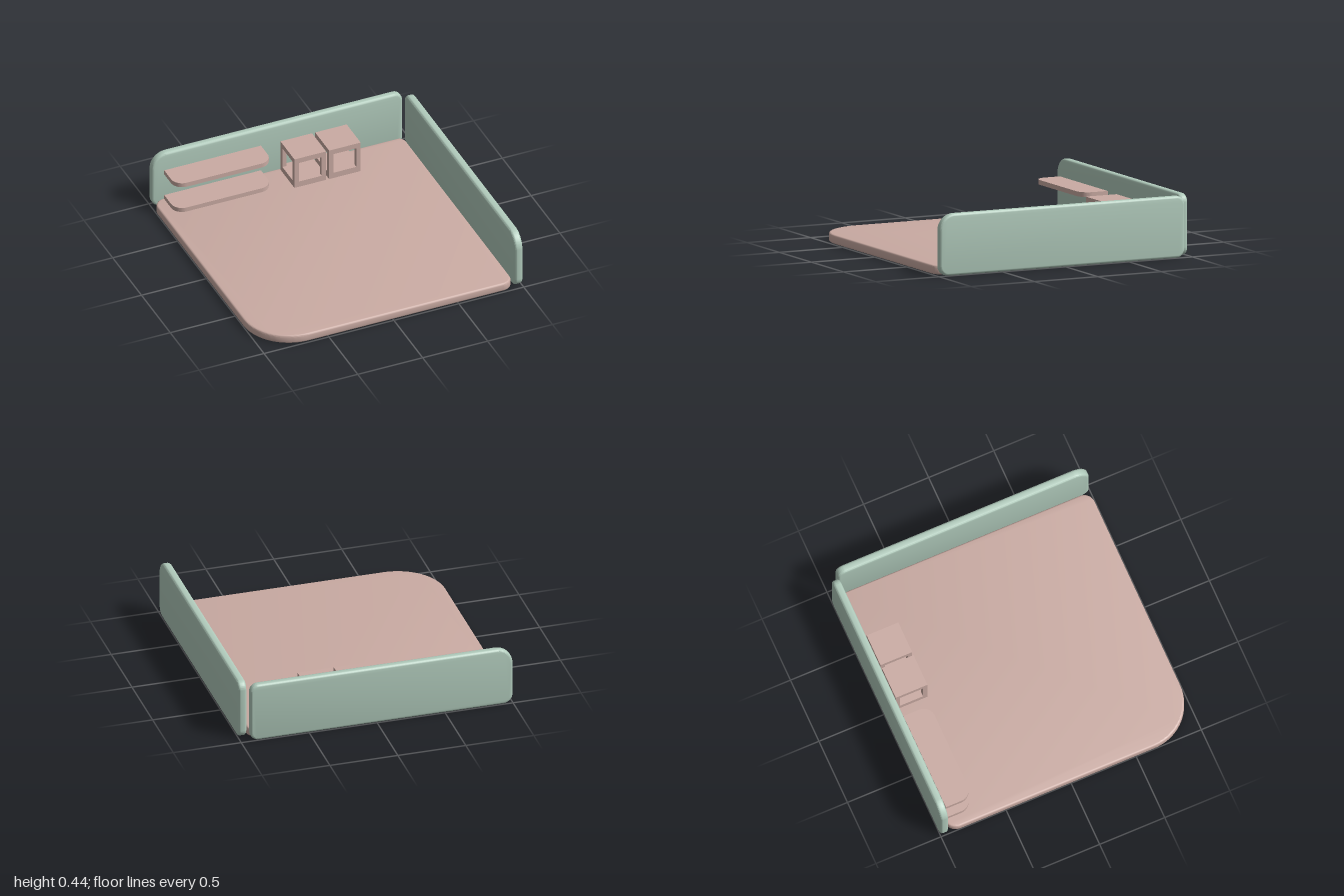
import * as THREE from 'three';
import { toCreasedNormals } from 'three/addons/utils/BufferGeometryUtils.js';

const pink = new THREE.MeshStandardMaterial({ color: 0xcaaba3 });
pink.name = 'dusty pink';
const green = new THREE.MeshStandardMaterial({ color: 0xb1cbbc });
green.name = 'sage green';

// Rectangle with its own radius at each corner: bottom-left, bottom-right, top-right, top-left
function roundedRect(x0, y0, x1, y1, [bl, br, tr, tl]) {
  const s = new THREE.Shape();
  const arc = (x, y, r, start) => {
    if (r > 0) s.absarc(x, y, r, start, start + Math.PI / 2, false);
    else s.lineTo(x, y);
  };
  s.moveTo(x0 + bl, y0);
  s.lineTo(x1 - br, y0);
  arc(x1 - br, y0 + br, br, -Math.PI / 2);
  s.lineTo(x1, y1 - tr);
  arc(x1 - tr, y1 - tr, tr, 0);
  s.lineTo(x0 + tl, y1);
  arc(x0 + tl, y1 - tl, tl, Math.PI / 2);
  s.lineTo(x0, y0 + bl);
  if (bl > 0) arc(x0 + bl, y0 + bl, bl, Math.PI);
  return s;
}

// Slab of the given thickness from z = 0, with softened edges if bevel > 0
function slab(shape, thickness, bevel) {
  const g = new THREE.ExtrudeGeometry(shape, {
    depth: thickness - 2 * bevel,
    bevelEnabled: bevel > 0,
    bevelThickness: bevel,
    bevelSize: bevel,
    bevelOffset: -bevel,
    bevelSegments: 3,
    curveSegments: 14,
  });
  g.translate(0, 0, bevel);
  return toCreasedNormals(g, 0.6);
}

function addMesh(parent, name, geometry, material, x = 0, y = 0, z = 0) {
  const m = new THREE.Mesh(geometry, material);
  m.name = name;
  m.position.set(x, y, z);
  parent.add(m);
  return m;
}

// Hollow cube: top and bottom slabs joined by corner posts, open on four sides
function storageCube(name, x0) {
  const cube = new THREE.Group();
  cube.name = name;
  const w = 0.243, post = 0.033, base = 0.045, lid = 0.04, h = 0.245;
  addMesh(cube, 'cubeBase', new THREE.BoxGeometry(w, base, w), pink, 0, base / 2, 0);
  addMesh(cube, 'cubeTop', new THREE.BoxGeometry(w, lid, w), pink, 0, h - lid / 2, 0);
  const postGeo = new THREE.BoxGeometry(post, h - base - lid, post);
  const o = (w - post) / 2;
  for (const sx of [-1, 1]) for (const sz of [-1, 1])
    addMesh(cube, 'cubePost', postGeo, pink, sx * o, (h + base - lid) / 2, sz * o);
  cube.position.set(x0 + w / 2, 0.065, -0.798);
  return cube;
}

export function createModel() {
  const model = new THREE.Group();
  model.name = 'deskMat';

  // Floor with one large front corner
  const floor = slab(roundedRect(-1, -0.99, 0.93, 0.94, [0.35, 0.08, 0.05, 0.09]), 0.065, 0.014);
  floor.rotateX(-Math.PI / 2);
  addMesh(model, 'floor', floor, pink);

  // Back and side walls share an outline whose free upper corner is rounder
  const corners = [0.07, 0.06, 0.06, 0.12];
  addMesh(model, 'backWall', slab(roundedRect(-1, 0, 0.93, 0.44, corners), 0.058, 0.017), green, 0, 0, -1);
  const side = slab(roundedRect(-0.99, 0, 0.94, 0.44, corners), 0.06, 0.017);
  side.rotateY(Math.PI / 2);
  addMesh(model, 'sideWall', side, green, 0.94, 0, 0);

  // Two shelves with rounded front corners
  const shelf = slab(roundedRect(-0.915, 0.722, -0.17, 0.925, [0.085, 0.085, 0, 0]), 0.034, 0);
  shelf.rotateX(-Math.PI / 2);
  addMesh(model, 'lowerShelf', shelf, pink, 0, 0.065, 0);
  addMesh(model, 'upperShelf', shelf, pink, 0, 0.278, 0);

  // Pair of open cubes
  model.add(storageCube('leftCube', -0.022), storageCube('rightCube', 0.245));
  return model;
}
